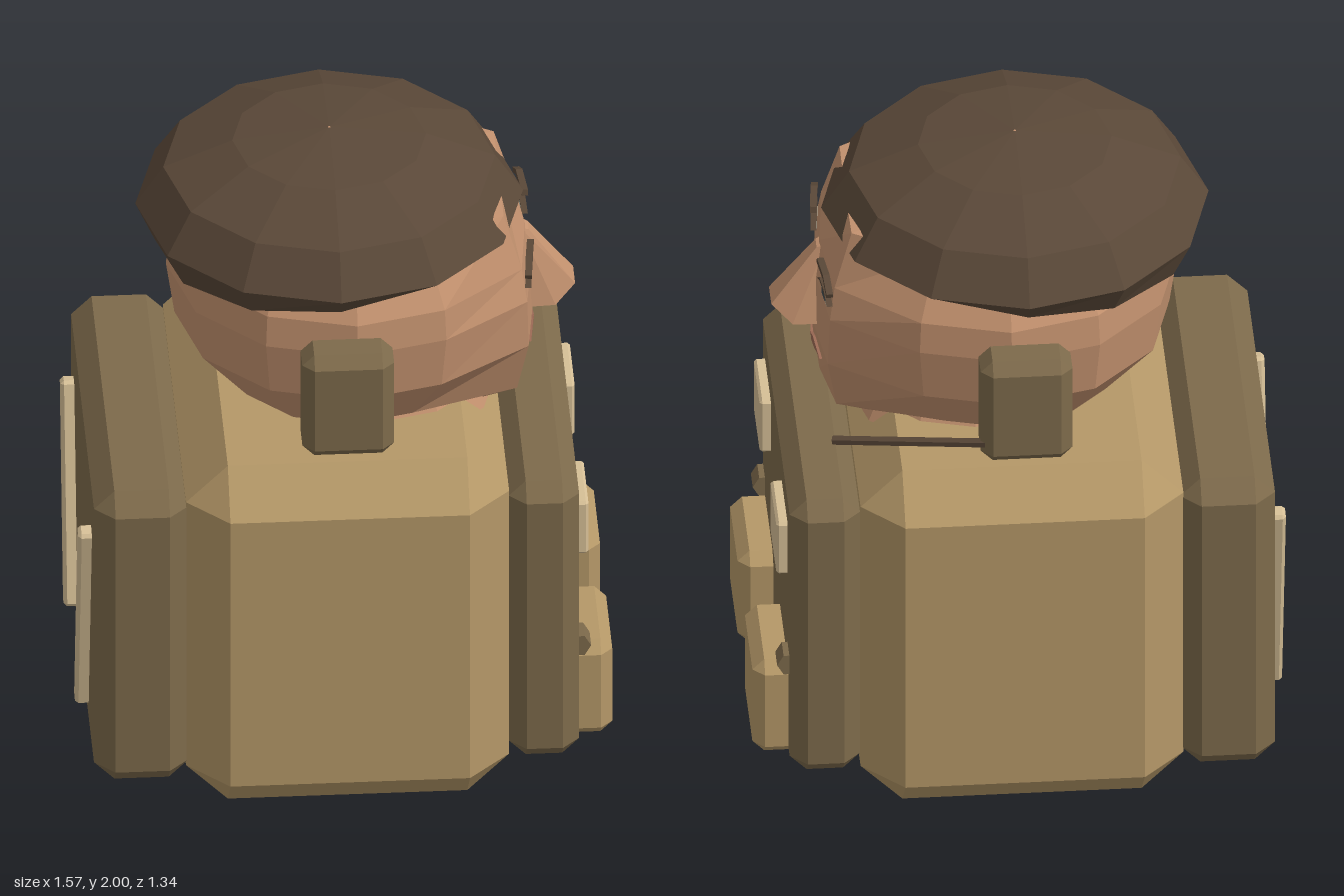
import * as THREE from 'three';
import { ConvexGeometry } from 'three/addons/geometries/ConvexGeometry.js';

const mat = (color) => new THREE.MeshStandardMaterial({ color, flatShading: true, side: THREE.DoubleSide });
const tan = mat(0xb59868), olive = mat(0x7d6a4b), sand = mat(0xd6bf96), skin = mat(0xc4926f);
const brown = mat(0x5a4838), white = mat(0xc9c9b4), iris = mat(0x3f4a4e), lip = mat(0x9c6a55);
const V = (x, y, z) => new THREE.Vector3(x, y, z);

export function createModel() {
  const model = new THREE.Group();

  const add = (name, geometry, material, parent = model) => {
    const mesh = new THREE.Mesh(geometry, material);
    mesh.name = name;
    parent.add(mesh);
    return mesh;
  };

  // Box with bevelled edges: three points per corner, one on each face
  const bevelBox = (w, h, d, c) => {
    const pts = [];
    for (const sx of [-1, 1]) for (const sy of [-1, 1]) for (const sz of [-1, 1]) {
      const x = w / 2, y = h / 2, z = d / 2;
      pts.push(V(sx * x, sy * (y - c), sz * (z - c)),
        V(sx * (x - c), sy * y, sz * (z - c)),
        V(sx * (x - c), sy * (y - c), sz * z));
    }
    return new ConvexGeometry(pts);
  };
  const block = (name, x0, x1, y0, y1, z0, z1, c, material) => {
    const mesh = add(name, bevelBox(x1 - x0, y1 - y0, z1 - z0, c), material);
    mesh.position.set((x0 + x1) / 2, (y0 + y1) / 2, (z0 + z1) / 2);
    return mesh;
  };

  // Skin over a stack of closed cross-sections, bottom to top
  const loft = (rings) => {
    const n = rings[0].length, pos = [], idx = [];
    rings.forEach((r) => r.forEach((p) => pos.push(p.x, p.y, p.z)));
    for (let j = 0; j < rings.length - 1; j++) for (let i = 0; i < n; i++) {
      const a = j * n + i, b = j * n + (i + 1) % n;
      idx.push(a, a + n, b, b, a + n, b + n);
    }
    const g = new THREE.BufferGeometry();
    g.setAttribute('position', new THREE.Float32BufferAttribute(pos, 3));
    g.setIndex(idx);
    const flat = g.toNonIndexed();
    flat.computeVertexNormals();
    return flat;
  };
  const ring = (cx, r, yAt) => Array.from({ length: 12 }, (_, i) => {
    const a = i * Math.PI / 6, x = cx + r * Math.cos(a);
    return V(x, yAt(x), r * Math.sin(a));
  });

  // Body with chest and back plates
  block('torso', -0.475, 0.475, 0, 1.17, -0.65, 0.65, 0.123, tan);
  block('backPlate', -0.745, -0.465, 0.08, 1.09, -0.58, 0.58, 0.06, olive);
  block('chestPlate', 0.475, 0.682, 0.105, 1.065, -0.555, 0.555, 0.05, olive);

  for (const s of [-1, 1]) {
    const at = (c, w) => [s * c - w / 2, s * c + w / 2];
    // Chest patches, pouches and toggles
    block('chestPatch', 0.67, 0.715, 0.75, 0.932, ...at(0.315, 0.23), 0.008, sand);
    block('pouch', 0.64, 0.785, 0.12, 0.445, ...at(0.28, 0.35), 0.035, tan);
    const toggle = add('toggle', new THREE.CylinderGeometry(0.038, 0.038, 0.072, 6), olive);
    toggle.rotation.set(Math.PI / 2, Math.PI / 6, 0);
    toggle.position.set(0.68, 0.473, s * 0.46);

    // Slanted straps on the back
    const strap = block('backStrap', -0.785, -0.73, 0.18, 0.89, ...at(0.328, 0.055), 0.01, sand);
    strap.rotation.x = s * 0.215;

    // Earpieces
    block('earpiece', -0.14, 0.13, 1.27, 1.62, ...at(0.597, 0.15), 0.035, olive);
  }

  // Microphone boom on one earpiece
  const boom = new THREE.LineCurve3(V(0.08, 1.338, -0.65), V(0.55, 1.243, -0.46));
  add('microphoneBoom', new THREE.TubeGeometry(boom, 1, 0.015, 6), brown);

  // Neck
  const neck = add('neck', new THREE.CylinderGeometry(0.28, 0.35, 0.14, 12), skin);
  neck.position.set(0.12, 1.18, 0);

  // Head rings: height, radius, then face centre x, face corner x and face corner z
  const headRings = [
    [1.10, 0.02, 0.10, 0.08, 0.01],
    [1.10, 0.17, 0.43, 0.38, 0.12],
    [1.185, 0.35, 0.555, 0.52, 0.19],
    [1.37, 0.505, 0.58, 0.55, 0.25],
    [1.54, 0.53, 0.575, 0.545, 0.272],
    [1.64, 0.522, 0.555, 0.53, 0.25],
    [1.815, 0.42, 0.48, 0.478, 0.225],
    [1.86, 0.02, 0.04, 0.04, 0.01],
  ].map(([y, r, faceX, cornerX, cornerZ]) => {
    const pts = ring(0.03, r, () => y);
    pts[0].x = faceX;
    pts[1].set(cornerX, y, cornerZ);
    pts[11].set(cornerX, y, -cornerZ);
    return pts;
  });
  add('head', loft(headRings), skin);

  // Cap of hair, its lower rim rising to the front
  const capRings = [[1.72, 0.3], [0, 0.515], [1.755, 0.57], [1.88, 0.488], [1.965, 0.285], [2, 0.004]]
    .map(([y, r]) => ring(-0.02, r, (x) => y || 1.69 + 0.11 * x));
  add('hairCap', loft(capRings), brown);

  // Nose
  const nosePts = [];
  for (const s of [-1, 1]) {
    nosePts.push(V(0.54, 1.64, s * 0.03), V(0.565, 1.63, s * 0.022), V(0.70, 1.45, s * 0.045),
      V(0.64, 1.40, s * 0.082), V(0.55, 1.40, s * 0.088));
  }
  add('nose', new ConvexGeometry(nosePts), skin);

  // Thin face plates outlined in (z, y), facing +x
  const plate = (name, pts, depth, material, parent) => {
    const shape = new THREE.Shape(pts.map(([z, y]) => new THREE.Vector2(-z, y)));
    const g = new THREE.ExtrudeGeometry(shape, { depth, bevelEnabled: false });
    return add(name, g.rotateY(Math.PI / 2), material, parent);
  };
  for (const s of [-1, 1]) {
    const side = new THREE.Group();
    side.name = 'eyeGroup';
    side.position.set(0.546, 1.59, s * 0.2);
    side.rotation.y = -s * 0.1;
    model.add(side);
    const m = (pts) => pts.map(([z, y]) => [s * z, y]);
    plate('eye', m([[-0.075, 0], [-0.04, 0.02], [0.03, 0.022], [0.078, 0.005], [0.03, -0.024], [-0.04, -0.022]]),
      0.01, white, side);
    plate('iris', m([[-0.022, 0.02], [0.022, 0.02], [0.022, -0.014], [-0.022, -0.014]]), 0.014, iris, side);
    plate('eyelid', m([[-0.08, 0], [-0.04, 0.03], [0.03, 0.032], [0.085, 0.008], [0.03, 0.021], [-0.04, 0.019]]),
      0.018, brown, side);
    plate('eyebrow', m([[-0.075, 0.06], [-0.07, 0.078], [0.03, 0.085], [0.09, 0.055], [0.085, 0.04], [0.03, 0.068]]),
      0.02, brown, side);
  }

  // Lips, bent back at the centre line to follow the face
  for (const s of [-1, 1]) {
    const half = new THREE.Group();
    half.name = 'mouthHalf';
    half.position.set(0.574, 1.307, 0);
    half.rotation.y = -s * 0.125;
    model.add(half);
    plate('upperLip', [[0, 0.008], [s * 0.035, 0.017], [s * 0.135, 0.002], [0, 0]], 0.008, lip, half);
    plate('lowerLip', [[0, -0.004], [s * 0.12, 0], [s * 0.05, -0.018], [0, -0.018]], 0.006, lip, half);
  }

  return model;
}
